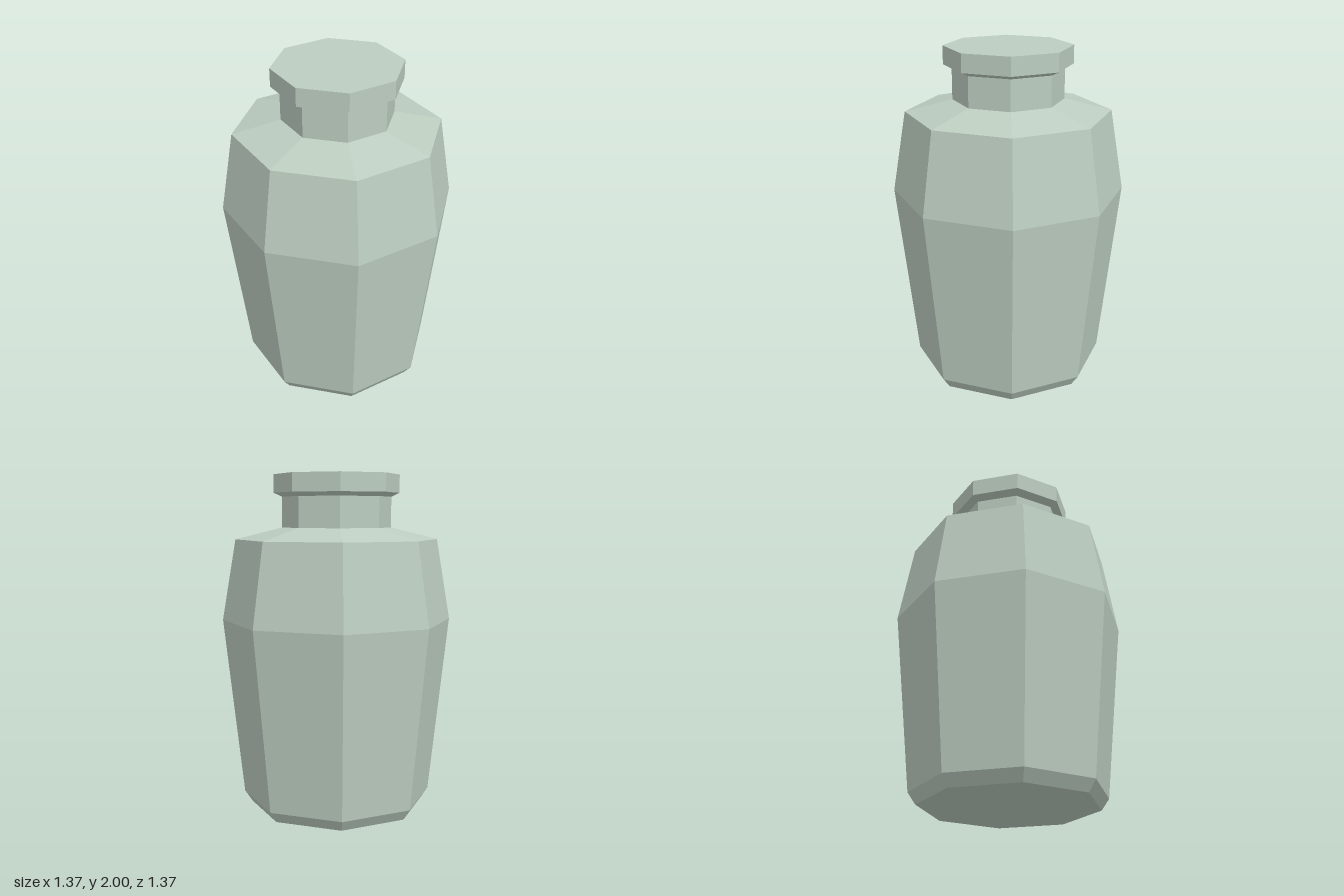
import * as THREE from 'three';

const SIDES = 8;

// Faceted turned part from [radius, height] pairs, listed bottom to top
function turned(name, profile, material) {
  const points = profile.map(([r, y]) => new THREE.Vector2(r, y));
  const mesh = new THREE.Mesh(new THREE.LatheGeometry(points, SIDES), material);
  mesh.name = name;
  return mesh;
}

export function createModel() {
  const group = new THREE.Group();
  group.name = 'jar';
  const material = new THREE.MeshStandardMaterial({ color: 0xbccdc0, flatShading: true });

  // Chamfered foot, tapered belly and sloping shoulder
  group.add(turned('body', [
    [0, 0], [0.525, 0], [0.571, 0.068], [0.686, 1.14], [0.603, 1.62], [0.325, 1.69],
  ], material));

  // Straight neck
  group.add(turned('neck', [[0.325, 1.69], [0.325, 1.87]], material));

  // Flat rim with a bevelled underside
  group.add(turned('lid', [
    [0.325, 1.87], [0.374, 1.893], [0.374, 2], [0, 2],
  ], material));

  return group;
}
